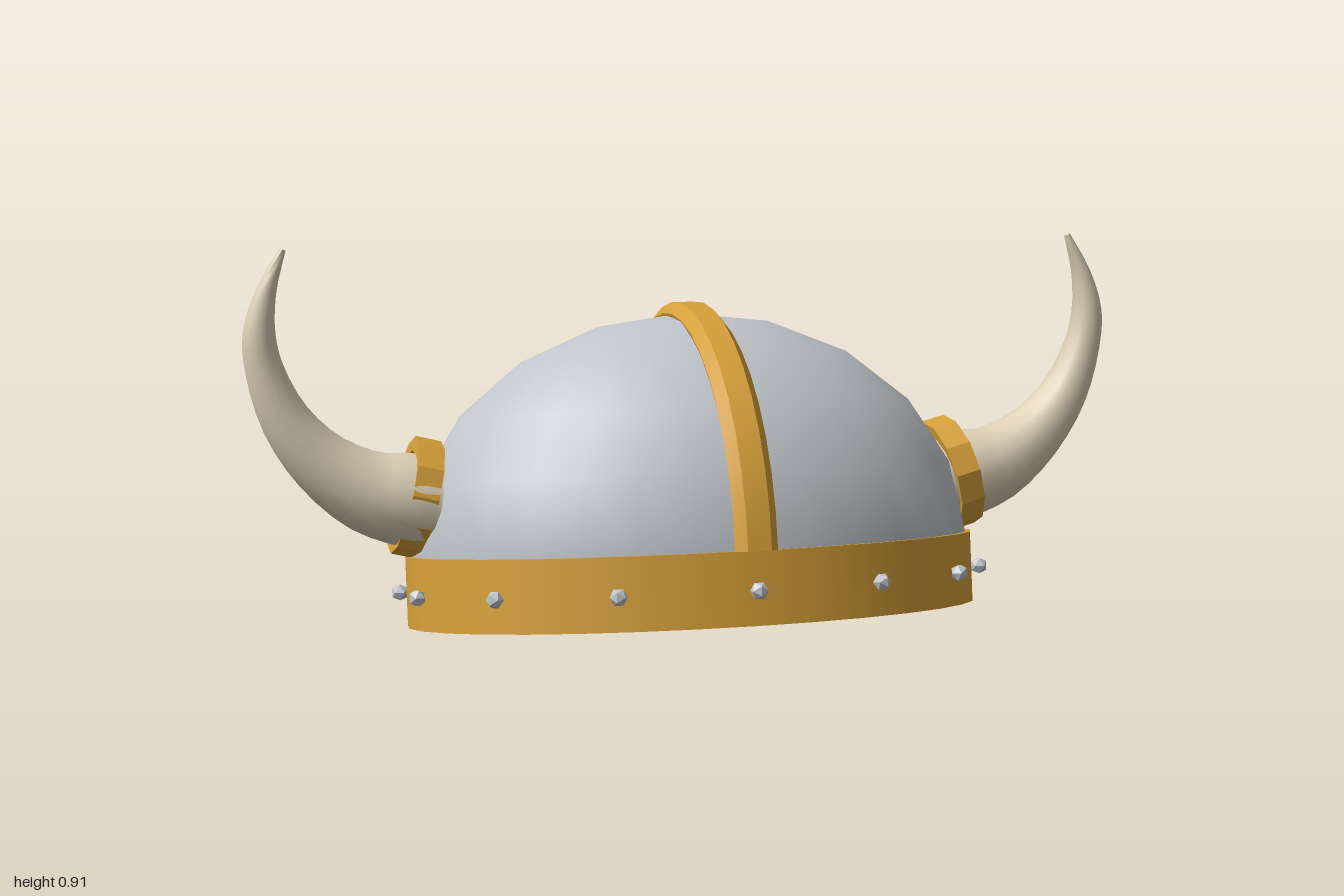
import * as THREE from 'three';
import { toCreasedNormals } from 'three/addons/utils/BufferGeometryUtils.js';

const material = (name, color) => {
  const m = new THREE.MeshStandardMaterial({ color });
  m.name = name;
  return m;
};

// Skin a list of closed rings (counter-clockwise about the travel direction), capped at both ends
function loft(rings, crease) {
  const n = rings[0].length, last = rings.length - 1;
  const index = [];
  for (let i = 0; i < last; i++) {
    for (let j = 0; j < n; j++) {
      const a = i * n + j, b = i * n + (j + 1) % n;
      index.push(a, b, b + n, a, b + n, a + n);
    }
  }
  for (let j = 1; j < n - 1; j++) {
    index.push(0, j + 1, j);
    index.push(last * n, last * n + j, last * n + j + 1);
  }
  const g = new THREE.BufferGeometry().setFromPoints(rings.flat());
  g.setIndex(index);
  return toCreasedNormals(g, crease);
}

// Tapered horn swept along a planar curve; z of each control point holds the radius
function hornGeometry() {
  const curve = new THREE.CatmullRomCurve3([
    [0.59, 0.342, 0.104], [0.65, 0.352, 0.104], [0.735, 0.375, 0.091], [0.835, 0.443, 0.07],
    [0.91, 0.538, 0.054], [0.953, 0.65, 0.041], [0.962, 0.725, 0.035],
    [0.945, 0.815, 0.022], [0.908, 0.904, 0.007],
  ].map((p) => new THREE.Vector3(...p)));
  const rings = [];
  for (let i = 0; i <= 24; i++) {
    const p = curve.getPoint(i / 24);
    const t = curve.getTangent(i / 24).setZ(0).normalize();
    const ring = [];
    for (let j = 0; j < 16; j++) {
      const a = (j / 16) * Math.PI * 2;
      const c = Math.cos(a) * p.z, s = Math.sin(a) * p.z;
      ring.push(new THREE.Vector3(p.x - t.y * c, p.y + t.x * c, s));
    }
    rings.push(ring);
  }
  return loft(rings, 1.0);
}

// Chamfered strip arching from front to back; section points are [x, depth below the outer face]
function crestGeometry() {
  const section = [[-0.026, 0], [0.026, 0], [0.047, 0.024], [0.038, 0.05], [-0.038, 0.05], [-0.047, 0.024]];
  const rings = [];
  for (let i = 0; i <= 20; i++) {
    const t = (i / 20) * Math.PI;
    rings.push(section.map(([x, d]) =>
      new THREE.Vector3(x, (0.545 - d) * Math.sin(t), (0.51 - d) * Math.cos(t))));
  }
  return loft(rings, 0.5);
}

export function createModel() {
  const steel = material('steel', 0xbfc5ca);
  const gold = material('gold', 0xd6a038);
  const bone = material('bone', 0xdccfb5);
  const dark = material('dark interior', 0x111216);

  const model = new THREE.Group();
  model.name = 'hornedHelmet';
  const add = (parent, name, geometry, mat) => {
    const mesh = new THREE.Mesh(geometry, mat);
    mesh.name = name;
    parent.add(mesh);
    return mesh;
  };

  // Shell, tipped back so that the front rim is raised
  const shell = new THREE.Group();
  shell.name = 'shell';
  shell.position.set(0, 0.0675, 0.0175);
  shell.rotation.x = -0.14;
  model.add(shell);

  const bandHeight = 0.157;
  const dome = new THREE.SphereGeometry(1, 32, 5, 0, Math.PI * 2, 0, Math.PI / 2);
  dome.scale(0.64, 0.52, 0.47);
  add(shell, 'dome', dome, steel).position.y = bandHeight;

  // Brow band with the dark opening as its underside
  const band = new THREE.CylinderGeometry(1, 1, bandHeight, 32);
  band.scale(0.652, 1, 0.482);
  add(shell, 'browBand', band, [gold, gold, dark]).position.y = bandHeight / 2;

  add(shell, 'crest', crestGeometry(), gold).position.y = bandHeight;

  // Rivets around the band
  const rivet = new THREE.IcosahedronGeometry(0.02, 0);
  for (let i = 0; i < 14; i++) {
    const a = (i / 14) * Math.PI * 2;
    const mesh = add(shell, 'rivet', rivet, steel);
    mesh.position.set(0.668 * Math.sin(a), 0.074, 0.495 * Math.cos(a));
    mesh.rotation.y = a;
  }

  // Collars and horns, one per side
  const profile = [[0.132, -0.029], [0.132, 0.029], [0.1, 0.029], [0.1, -0.029], [0.132, -0.029]]
    .map(([x, y]) => new THREE.Vector2(x, y));
  const collar = toCreasedNormals(new THREE.LatheGeometry(profile, 12), 0.1);
  collar.rotateZ(-1.32);
  collar.translate(0.625, 0.288, 0.006);
  const horn = hornGeometry();
  for (const [side, turn] of [['left', 0], ['right', Math.PI]]) {
    add(shell, side + 'Collar', collar, gold).rotation.y = turn;
    add(model, side + 'Horn', horn, bone).rotation.y = turn;
  }
  return model;
}
